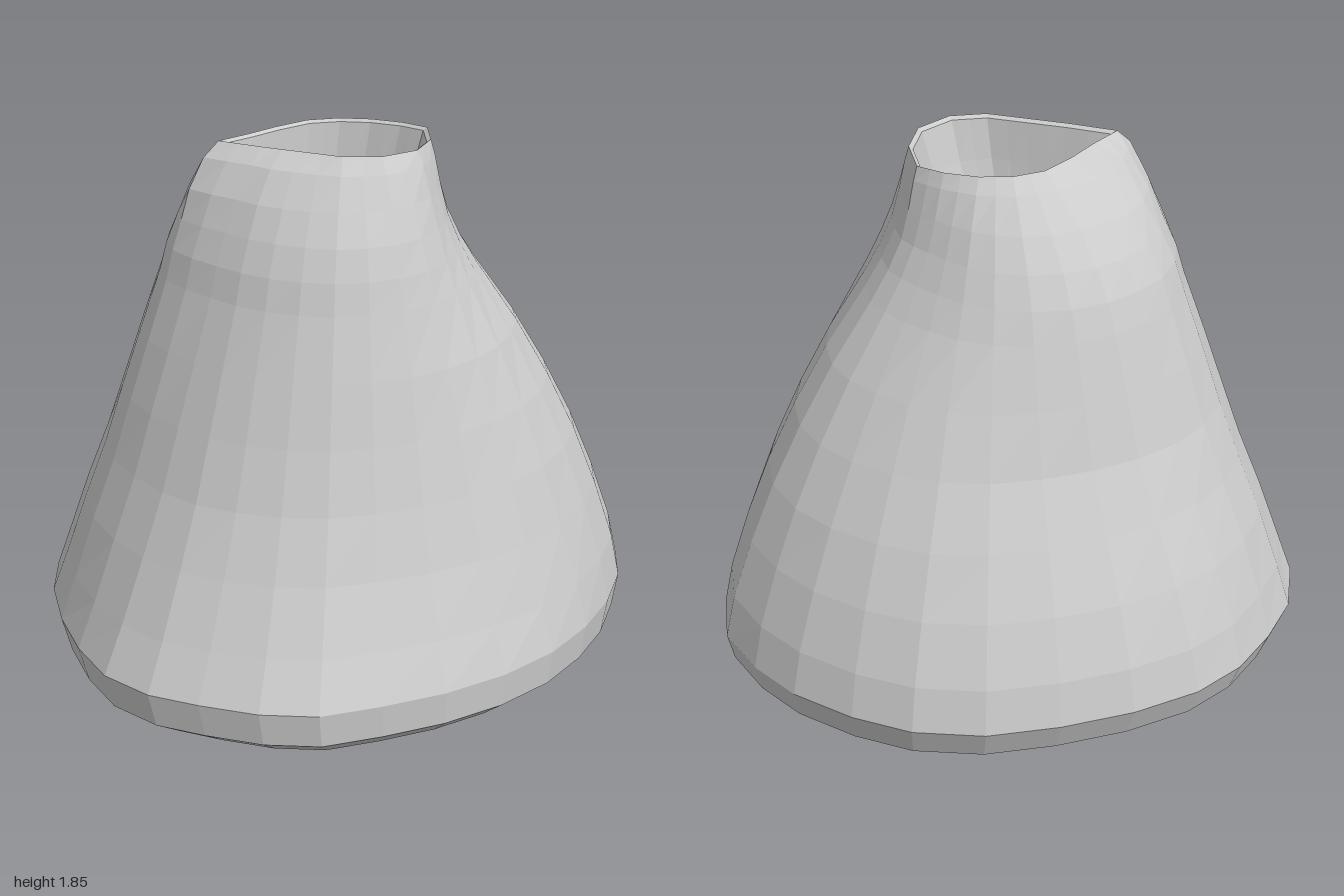
import * as THREE from 'three';

const N = 28; // points per ring, from +x round through the back (-z)

// Widest outline of the body
const BASE = [
  [1, -0.04], [0.97, -0.25], [0.9, -0.44], [0.77, -0.63], [0.62, -0.78], [0.41, -0.89], [0.17, -0.94],
  [-0.08, -0.96], [-0.32, -0.94], [-0.51, -0.87], [-0.68, -0.75], [-0.83, -0.61], [-0.94, -0.42], [-0.99, -0.2],
  [-1, 0.05], [-0.98, 0.29], [-0.93, 0.51], [-0.82, 0.68], [-0.68, 0.79], [-0.51, 0.9], [-0.33, 0.96],
  [-0.12, 0.94], [0.1, 0.9], [0.32, 0.82], [0.52, 0.7], [0.69, 0.54], [0.83, 0.36], [0.94, 0.16]];

// Mouth outline with a pinched corner at -x (every second ring point)
const MOUTH = [
  [0.28, -0.02], [0.22, -0.1], [0.13, -0.17], [0.03, -0.21], [-0.08, -0.21], [-0.2, -0.15], [-0.31, -0.08],
  [-0.42, -0.02], [-0.3, 0.09], [-0.19, 0.18], [-0.08, 0.27], [0.04, 0.3], [0.17, 0.25], [0.25, 0.13]];

// Spread from mouth (0) to base outline (1) on each side, by height
const HEIGHTS = [1.85, 1.8, 1.7, 1.6, 1.5, 1.4, 1.2, 1, 0.8, 0.6, 0.4, 0.25];
const SPREAD = {
  left: [0, 0.02, 0.05, 0.09, 0.16, 0.25, 0.45, 0.62, 0.76, 0.87, 0.96, 1],
  right: [0, 0.1, 0.2, 0.26, 0.32, 0.36, 0.47, 0.58, 0.68, 0.8, 0.91, 1],
  front: [0, 0.08, 0.18, 0.27, 0.33, 0.37, 0.46, 0.54, 0.63, 0.74, 0.88, 1],
  back: [0, 0.07, 0.2, 0.31, 0.39, 0.44, 0.52, 0.6, 0.73, 0.86, 0.96, 1],
};
// How far each section is rounded off
const ROUNDING = [0, 0.2, 0.5, 0.8, 1, 1, 1, 1, 0.8, 0.5, 0.2, 0];

const mix = THREE.MathUtils.lerp;
const ring = (fn) => Array.from({ length: N }, (_, j) => fn(j));
const bell = (x, width) => Math.exp(-((x / width) ** 2));

function mouthPoint(j) {
  const a = MOUTH[Math.floor(j / 2)], b = MOUTH[Math.ceil(j / 2) % MOUTH.length];
  return [(a[0] + b[0]) / 2, (a[1] + b[1]) / 2];
}

// Body section: blend the side profiles by direction, then round it
function bodyRing(y, i) {
  const raw = ring((j) => {
    const [bx, bz] = BASE[j], [mx, mz] = mouthPoint(j);
    const angle = Math.atan2(-bz, bx), c = Math.cos(angle), s = Math.sin(angle);
    const wx = c > 0 ? c : c * c, wz = Math.abs(s) ** (c > 0 ? 3 : 2);
    const tx = SPREAD[c > 0 ? 'left' : 'right'][i], tz = SPREAD[s > 0 ? 'back' : 'front'][i];
    let t = (tx * wx + tz * wz) / (wx + wz);
    // shoulder at the back right, narrow hollow at the front right
    const swell = 0.09 * bell(angle - 2.45, 0.45) - 0.05 * bell(angle + 2.72, 0.2);
    t += swell * Math.sin(Math.PI * t ** 0.7);
    return [mix(mx, bx, t), y, mix(mz, bz, t)];
  });
  return ring((j) => raw[j].map((v, k) =>
    mix(v, (raw[(j + N - 1) % N][k] + 2 * v + raw[(j + 1) % N][k]) / 4, ROUNDING[i])));
}

const baseRing = (y, s, dz) => ring((j) => [BASE[j][0] * s, y, BASE[j][1] * s + dz]);

// Interior section: the mouth morphing into a small oval throat
function innerRing(y, t, size) {
  return ring((j) => {
    const [mx, mz] = mouthPoint(j), a = (j / N) * Math.PI * 2;
    const ox = -0.08 + 0.15 * Math.cos(a), oz = -0.01 - 0.16 * Math.sin(a);
    const x = mix(mx * 0.95, ox, t), z = mix(mz * 0.95, oz, t);
    return [mix(-0.08, x, size), y, mix(0, z, size)];
  });
}

// Skin a stack of rings
function loft(name, rings, material) {
  const index = [];
  for (let i = 0; i < rings.length - 1; i++) {
    for (let j = 0; j < N; j++) {
      const k = (j + 1) % N, a = i * N + j, b = i * N + k, c = a + N, d = b + N;
      index.push(a, c, b, b, c, d);
    }
  }
  const geometry = new THREE.BufferGeometry();
  geometry.setAttribute('position', new THREE.Float32BufferAttribute(rings.flat(2), 3));
  geometry.setIndex(index);
  geometry.computeVertexNormals();
  const mesh = new THREE.Mesh(geometry, material);
  mesh.name = name;
  return mesh;
}

export function createModel() {
  const group = new THREE.Group();
  group.name = 'flaredVase';
  const material = new THREE.MeshStandardMaterial({ color: 0xcccccc, flatShading: true, side: THREE.DoubleSide });

  const body = HEIGHTS.map(bodyRing);
  // Throat, from its floor up to the rim
  const interior = [
    innerRing(0.97, 1, 0.001), innerRing(1, 1, 0.85), innerRing(1.1, 1, 1), innerRing(1.3, 0.9, 1),
    innerRing(1.5, 0.55, 1), innerRing(1.7, 0.2, 1), innerRing(1.84, 0, 1), body[0]];
  // Rounded lower edge and shallow domed underside
  const underside = [
    body[body.length - 1], baseRing(0.14, 0.97, 0.02), baseRing(0.075, 0.86, 0.03),
    baseRing(0.03, 0.6, 0.02), baseRing(0.01, 0.25, 0), baseRing(0, 0.001, 0)];

  group.add(loft('interior', interior, material));
  group.add(loft('body', body, material));
  group.add(loft('underside', underside, material));
  return group;
}
